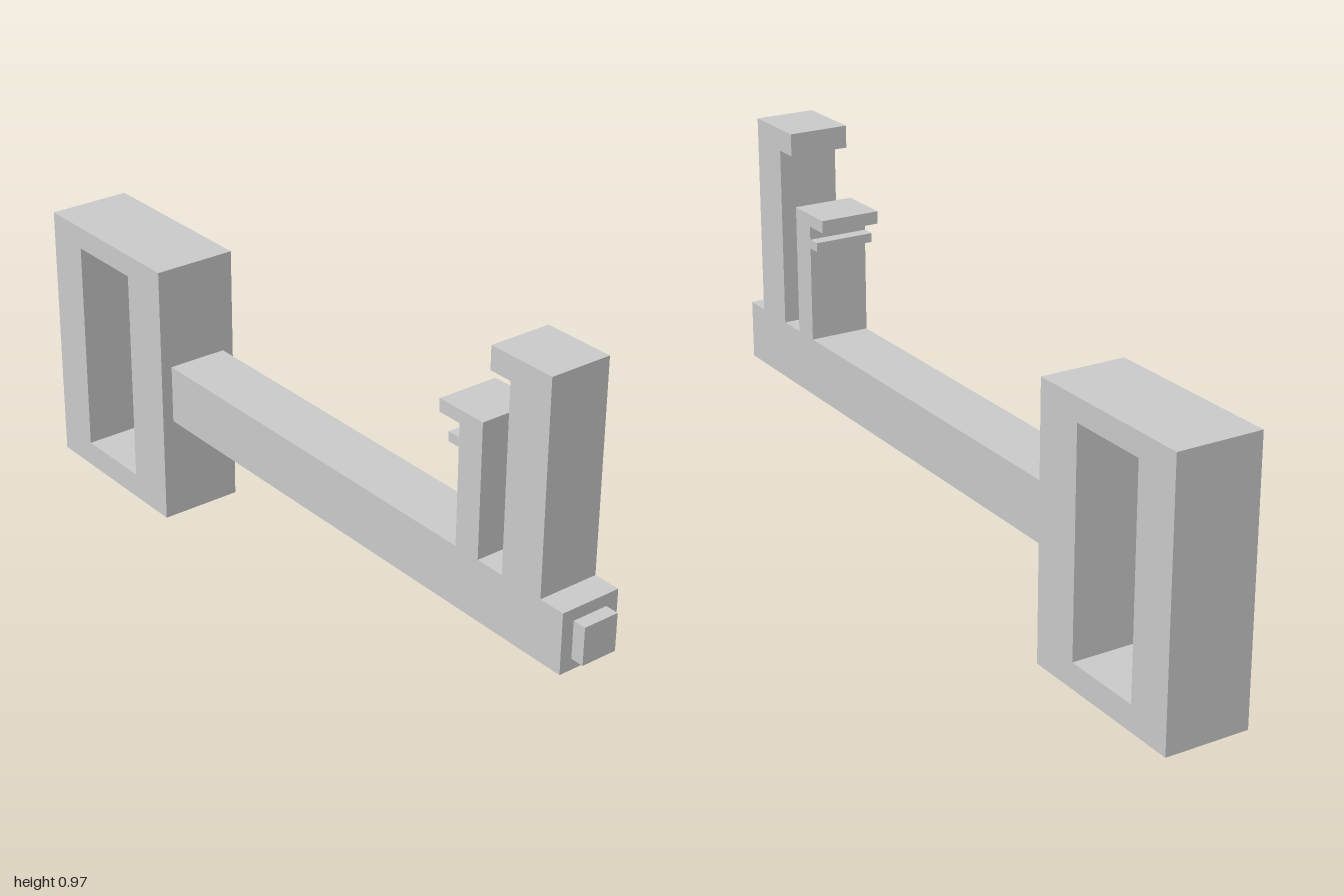
import * as THREE from 'three';

const material = new THREE.MeshStandardMaterial({ color: 0xcccccc, flatShading: true });

const toPoints = (pairs) => pairs.map(([x, y]) => new THREE.Vector2(x, y));

// Extrudes a front outline symmetrically about z = 0
function plate(name, outline, depth, hole) {
  const shape = new THREE.Shape(toPoints(outline));
  if (hole) shape.holes.push(new THREE.Path(toPoints(hole)));
  const geometry = new THREE.ExtrudeGeometry(shape, { depth, bevelEnabled: false });
  geometry.translate(0, 0, -depth / 2);
  const mesh = new THREE.Mesh(geometry, material);
  mesh.name = name;
  return mesh;
}

const rect = (x0, y0, x1, y1) => [[x0, y0], [x1, y0], [x1, y1], [x0, y1]];

export function createModel() {
  const group = new THREE.Group();
  group.name = 'key';

  // Rectangular grip with a window through it
  group.add(plate('bow', rect(-1, 0, -0.505, 0.71), 0.224, rect(-0.872, 0.068, -0.647, 0.65)));

  // Shaft and its two hooked bits share one outline
  group.add(plate('shaftWithBits', [
    [-0.505, 0.28], [0.965, 0.28], [0.965, 0.437],
    // tall bit
    [0.894, 0.437], [0.894, 0.971], [0.707, 0.971], [0.707, 0.912], [0.77, 0.912], [0.77, 0.437],
    // short bit with a small tooth under its hook
    [0.69, 0.437], [0.69, 0.78], [0.547, 0.78], [0.547, 0.747], [0.615, 0.747],
    [0.615, 0.712], [0.58, 0.712], [0.58, 0.688], [0.615, 0.688], [0.615, 0.437],
    [-0.505, 0.437],
  ], 0.162));

  // Small square stud at the end of the shaft
  group.add(plate('tip', rect(0.965, 0.309, 1, 0.406), 0.096));

  return group;
}
